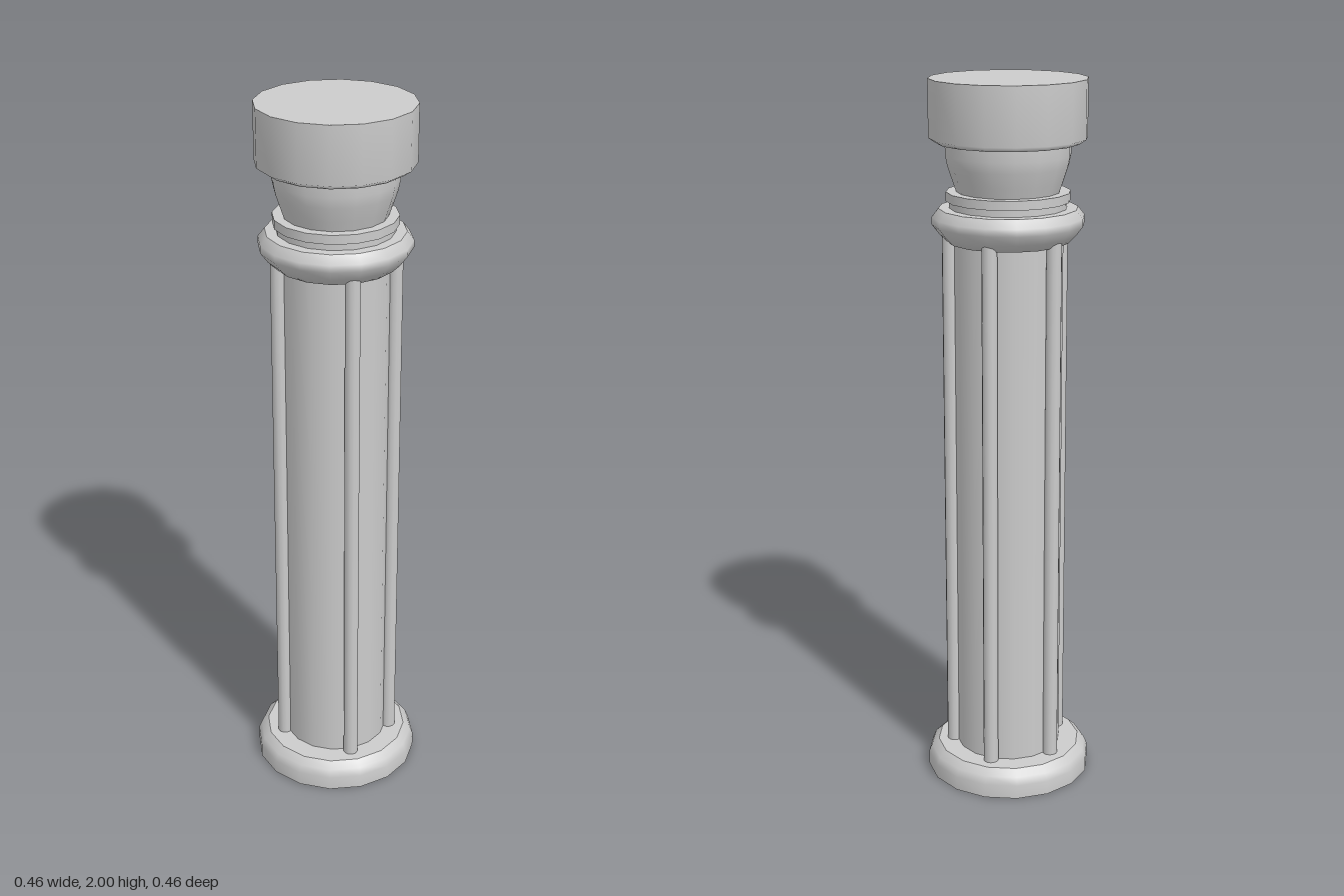
import * as THREE from 'three';

const SIDES = 16;
const ROUND = Math.cos(Math.PI / SIDES); // flat-to-flat radius -> corner radius

export function createModel() {
  const model = new THREE.Group();
  const grey = new THREE.MeshStandardMaterial({ color: 0xcccccc });

  // One turned part; each run of [radius, y] is smooth, runs meet in sharp edges.
  function turned(name, ...runs) {
    const part = new THREE.Group();
    part.name = name;
    for (const run of runs) {
      const points = run.map(([r, y]) => new THREE.Vector2(r / ROUND, y));
      const geometry = new THREE.LatheGeometry(points, SIDES, Math.PI / SIDES);
      const mesh = new THREE.Mesh(geometry, grey);
      mesh.name = name + 'Surface';
      part.add(mesh);
    }
    model.add(part);
  }

  // Rounded foot
  turned('base',
    [[0, 0], [0.231, 0]],
    [[0.231, 0], [0.231, 0.04], [0.222, 0.062], [0.202, 0.08]],
    [[0.202, 0.08], [0, 0.08]]);

  turned('shaft', [[0.147, 0.07], [0.147, 1.6]]);

  // Flaring collar at the head of the shaft
  turned('collar',
    [[0.14, 1.565], [0.162, 1.567], [0.183, 1.588], [0.203, 1.615], [0.203, 1.635], [0.185, 1.658]],
    [[0.185, 1.658], [0.12, 1.658]]);

  // Stepped neck rings
  turned('neckRings',
    [[0.156, 1.655], [0.156, 1.677]],
    [[0.156, 1.677], [0.165, 1.677]],
    [[0.165, 1.677], [0.165, 1.702]],
    [[0.165, 1.702], [0.1, 1.702]]);

  // Cup-shaped neck below the capital
  turned('neck', [[0.137, 1.7], [0.147, 1.73], [0.16, 1.77], [0.166, 1.8], [0.166, 1.84]]);

  // Drum capital
  turned('capital',
    [[0.16, 1.832], [0.19, 1.832], [0.209, 1.845], [0.209, 2]],
    [[0.209, 2], [0, 2]]);

  // Slim ribs, unevenly spaced around the shaft
  const ribGeometry = new THREE.CylinderGeometry(0.021, 0.021, 1.54, 12);
  for (const degrees of [-9.5, 58.5, 148, 215.5, 283]) {
    const a = THREE.MathUtils.degToRad(degrees);
    const rib = new THREE.Mesh(ribGeometry, grey);
    rib.name = 'rib';
    rib.position.set(0.159 * Math.cos(a), 0.84, 0.159 * Math.sin(a));
    model.add(rib);
  }

  return model;
}
